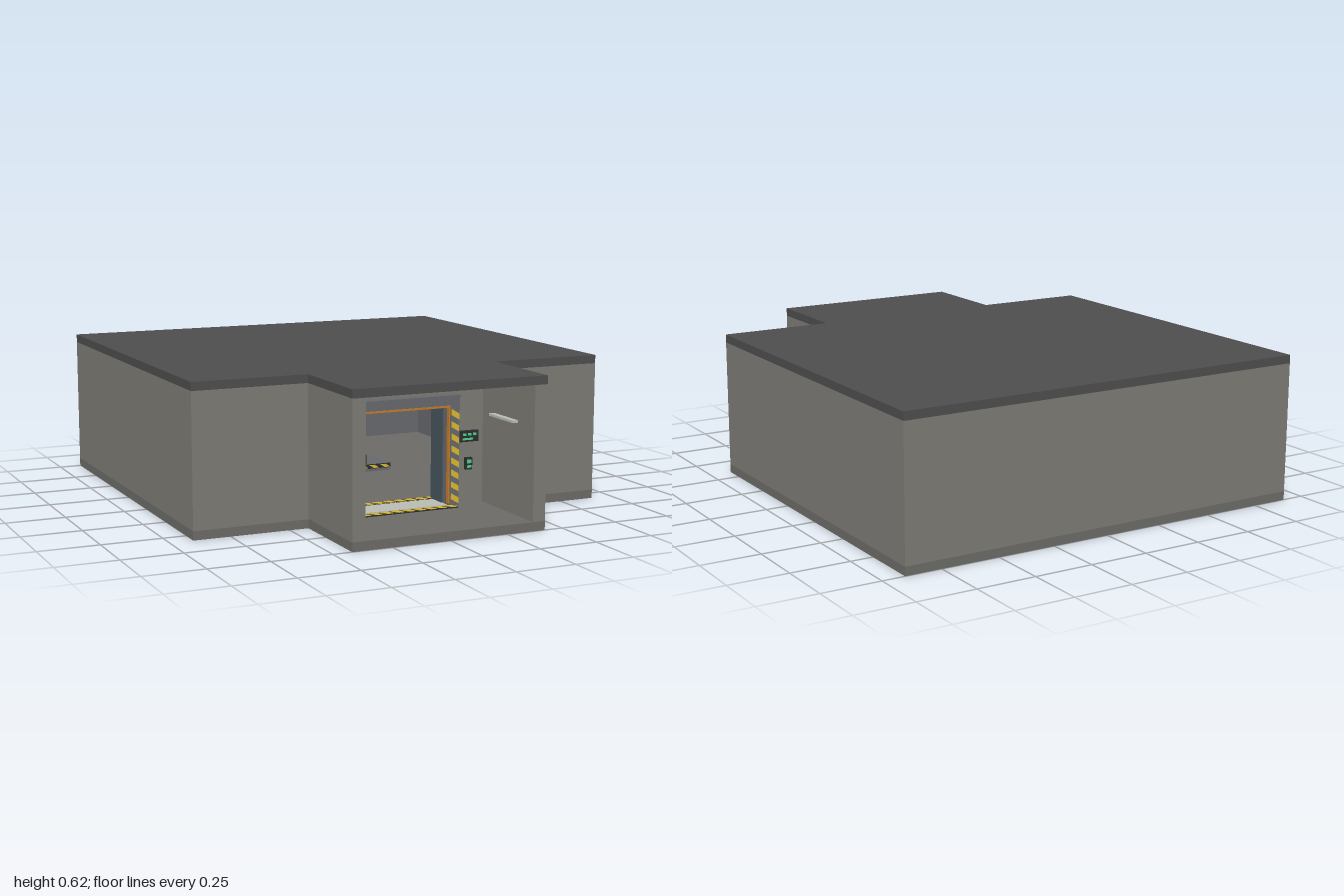
import * as THREE from 'three';

const mats = {};
const mat = (c) => (mats[c] ??= new THREE.MeshStandardMaterial({ color: c }));
const WALL = 0x7c7a74, FLOOR = 0x6b6a66, ROOF = 0x4d4d4e, STEEL = 0x66686c, DARK = 0x2b2d2f,
  YELLOW = 0xd8b62c, ORANGE = 0xc07a28, GREEN = 0x4fd088, BLUE = 0x46545c, PALE = 0xb8bab4;

// Box given by its x, y and z ranges
function box(parent, name, [x0, x1], [y0, y1], [z0, z1], color) {
  const m = new THREE.Mesh(new THREE.BoxGeometry(x1 - x0, y1 - y0, z1 - z0), mat(color));
  m.position.set((x0 + x1) / 2, (y0 + y1) / 2, (z0 + z1) / 2);
  m.name = name;
  parent.add(m);
  return m;
}

// T-shaped slab: wide room at the back, narrow entry at the front
function slab(name, y0, height, color) {
  const s = new THREE.Shape([[-0.905, 1], [0.905, 1], [0.905, -0.585], [0.42, -0.585],
    [0.42, -1], [-0.42, -1], [-0.42, -0.585], [-0.905, -0.585]].map(([x, y]) => new THREE.Vector2(x, y)));
  const g = new THREE.ExtrudeGeometry(s, { depth: height, bevelEnabled: false });
  g.rotateX(-Math.PI / 2);
  const m = new THREE.Mesh(g, mat(color));
  m.position.y = y0;
  m.name = name;
  return m;
}

// Dark strip along +y with slanted yellow bars, facing +z
function hazardStrip(name, width, length, count, slant, back = DARK) {
  const g = new THREE.Group();
  g.name = name;
  box(g, 'stripBase', [-width / 2, width / 2], [0, length], [0, 0.004], back);
  const pitch = length / count, t = pitch * 0.5, w = width / 2 - 0.003, d = slant * pitch * 0.2;
  const bar = new THREE.Shape();
  bar.moveTo(-w, -t / 2 - d);
  bar.lineTo(w, -t / 2 + d);
  bar.lineTo(w, t / 2 + d);
  bar.lineTo(-w, t / 2 - d);
  const geo = new THREE.ExtrudeGeometry(bar, { depth: 0.003, bevelEnabled: false });
  for (let i = 0; i < count; i++) {
    const m = new THREE.Mesh(geo, mat(YELLOW));
    m.position.set(0, (i + 0.5) * pitch, 0.004);
    m.name = 'yellowBar';
    g.add(m);
  }
  return g;
}

export function createModel() {
  const root = new THREE.Group();
  root.name = 'bunkerRoom';
  root.add(slab('floorSlab', 0, 0.037, FLOOR), slab('roofSlab', 0.585, 0.035, ROOF));
  const H = [0.037, 0.585];

  // Shell walls
  box(root, 'backWall', [-0.905, 0.905], H, [-1, -0.945], WALL);
  box(root, 'doorLintelWall', [-0.22, 0.22], [0.47, 0.585], [0.53, 0.585], WALL);
  for (const s of [-1, 1]) {
    const r = (a, b) => (s > 0 ? [a, b] : [-b, -a]);
    box(root, 'sideWall', r(0.85, 0.905), H, [-0.945, 0.585], WALL);
    box(root, 'frontWall', r(0.22, 0.85), H, [0.53, 0.585], WALL);
    box(root, 'entryWall', r(0.365, 0.42), H, [0.585, 1], WALL);
    box(root, 'entryLightStrip', r(0.34, 0.365), [0.415, 0.425], [0.68, 0.87], PALE);

    // Door frame with hazard marking
    box(root, 'doorJamb', r(0.195, 0.24), [0.037, 0.455], [0.46, 0.615], STEEL);
    box(root, 'jambLining', r(0.19, 0.195), [0.037, 0.45], [0.46, 0.56], BLUE);
    const strip = hazardStrip('jambHazard', 0.04, 0.4, 8, -s, STEEL);
    strip.position.set(s * 0.218, 0.045, 0.615);
    root.add(strip);

    // Lower wall cladding of the room
    box(root, 'sideCladding', r(0.84, 0.85), [0.037, 0.185], [-0.935, 0.53], STEEL);
    box(root, 'sideTrim', r(0.837, 0.85), [0.185, 0.195], [-0.935, 0.53], ORANGE);
  }
  box(root, 'doorHeader', [-0.24, 0.24], [0.455, 0.5], [0.46, 0.615], STEEL);
  box(root, 'headerLip', [-0.24, 0.24], [0.49, 0.5], [0.615, 0.625], STEEL);
  box(root, 'headerTrim', [-0.195, 0.195], [0.449, 0.457], [0.6, 0.618], ORANGE);
  box(root, 'jambTrim', [0.189, 0.195], [0.05, 0.45], [0.6, 0.618], ORANGE);
  box(root, 'backCladding', [-0.85, 0.85], [0.037, 0.185], [-0.945, -0.935], STEEL);
  box(root, 'backTrim', [-0.85, 0.85], [0.185, 0.195], [-0.945, -0.932], ORANGE);

  // Threshold plate with hazard strips on both sides
  box(root, 'thresholdPlate', [-0.195, 0.195], [0.037, 0.041], [0.48, 0.6], PALE);
  for (const z of [0.635, 0.46]) {
    const strip = hazardStrip('thresholdHazard', 0.035, 0.44, 9, 1);
    strip.rotation.set(-Math.PI / 2, 0, -Math.PI / 2);
    strip.position.set(-0.22, 0.037, z);
    root.add(strip);
  }

  // Wall controls beside the door
  const controls = new THREE.Group();
  controls.name = 'doorControls';
  root.add(controls);
  box(controls, 'statusPanel', [0.25, 0.338], [0.297, 0.343], [0.585, 0.6], DARK);
  for (const x of [0.272, 0.295, 0.318])
    box(controls, 'statusLamp', [x - 0.007, x + 0.007], [0.323, 0.333], [0.6, 0.604], GREEN);
  box(controls, 'statusBar', [0.262, 0.31], [0.305, 0.313], [0.6, 0.604], GREEN);
  box(controls, 'keypad', [0.28, 0.31], [0.18, 0.23], [0.585, 0.6], DARK);
  box(controls, 'keypadScreen', [0.286, 0.304], [0.207, 0.222], [0.6, 0.604], GREEN);
  box(controls, 'keypadKeys', [0.286, 0.304], [0.188, 0.198], [0.6, 0.604], GREEN);

  // Console on the room floor
  const desk = new THREE.Group();
  desk.name = 'console';
  root.add(desk);
  box(desk, 'consoleBase', [-0.07, 0.07], [0.037, 0.11], [-0.05, 0.05], 0x55604f);
  box(desk, 'consoleTop', [-0.085, 0.085], [0.11, 0.16], [-0.065, 0.06], 0x465044);
  box(desk, 'consoleFace', [-0.075, 0.075], [0.122, 0.152], [0.06, 0.064], 0x5f6b58);
  box(desk, 'upperStripe', [-0.042, 0.042], [0.113, 0.12], [0.06, 0.066], ORANGE);
  box(desk, 'lowerStripe', [-0.036, 0.036], [0.072, 0.08], [0.05, 0.055], ORANGE);
  for (const s of [-1, 1]) {
    box(desk, 'upperLatch', [s * 0.045 - 0.004, s * 0.045 + 0.004], [0.138, 0.154], [0.064, 0.069], PALE);
    box(desk, 'lowerLatch', [s * 0.035 - 0.004, s * 0.035 + 0.004], [0.094, 0.11], [0.05, 0.056], PALE);
  }

  // Low platform behind the console
  box(root, 'platform', [-0.3, 0.3], [0.037, 0.07], [-0.6, -0.15], STEEL);
  const edge = hazardStrip('platformHazard', 0.02, 0.6, 11, 1);
  edge.rotation.z = -Math.PI / 2;
  edge.position.set(-0.3, 0.06, -0.15);
  root.add(edge);

  return root;
}
